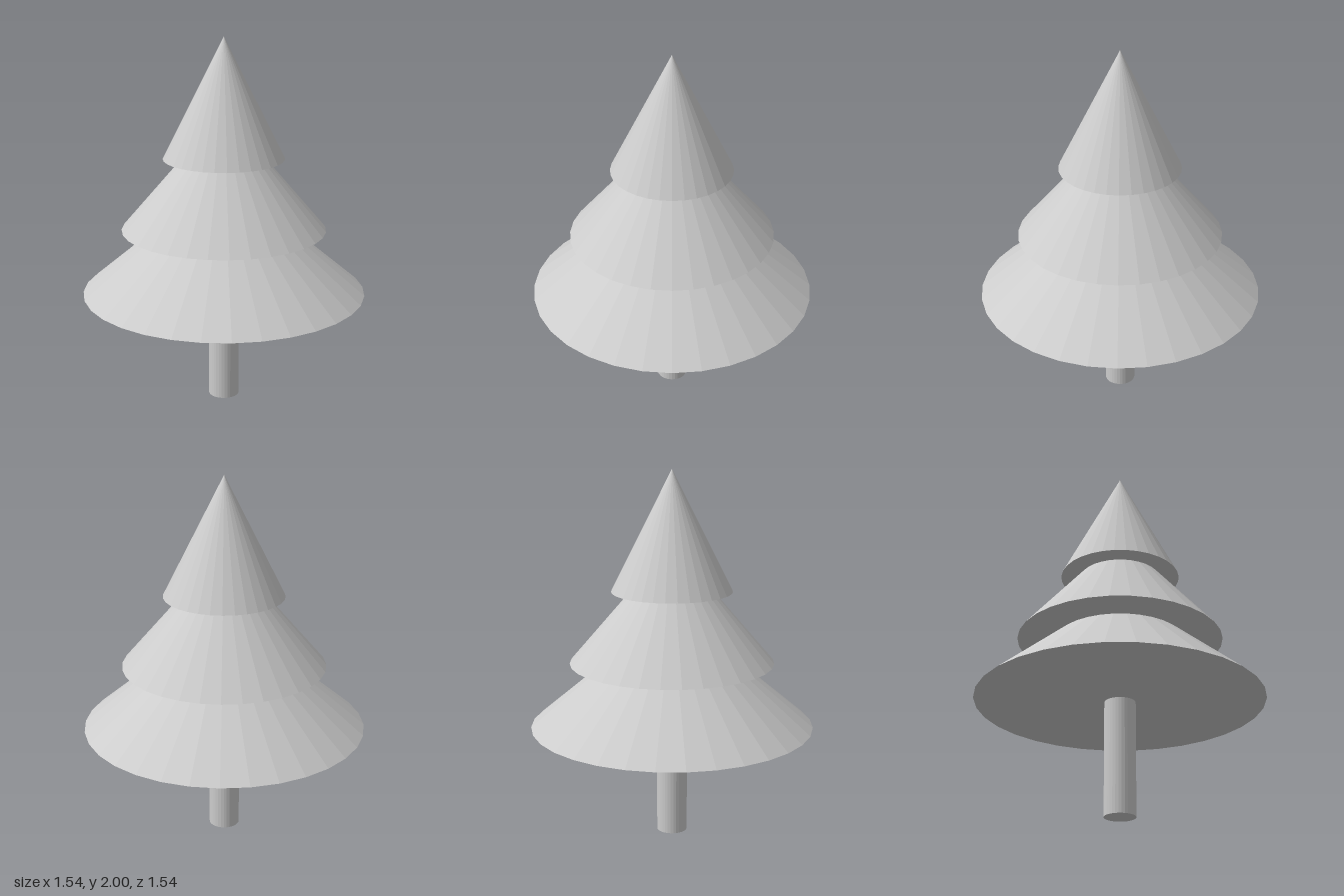
import * as THREE from 'three';

const SIDES = 32;

export function createModel() {
  const tree = new THREE.Group();
  tree.name = 'firTree';

  const grey = new THREE.MeshStandardMaterial({ color: 0xcccccc, flatShading: true });
  grey.name = 'plain grey';

  const add = (name, geometry, bottom, height) => {
    const mesh = new THREE.Mesh(geometry, grey);
    mesh.name = name;
    mesh.position.y = bottom + height / 2;
    tree.add(mesh);
  };

  // Trunk, reaching slightly into the lowest tier
  const trunkHeight = 0.64;
  add('trunk', new THREE.CylinderGeometry(0.083, 0.083, trunkHeight, SIDES), 0, trunkHeight);

  // Overlapping foliage cones: name, radius, base height, tip height
  const tiers = [
    ['lowerFoliage', 0.768, 0.617, 1.265],
    ['middleFoliage', 0.552, 0.968, 1.612],
    ['upperFoliage', 0.325, 1.355, 2],
  ];
  for (const [name, radius, base, tip] of tiers) {
    add(name, new THREE.ConeGeometry(radius, tip - base, SIDES), base, tip - base);
  }

  return tree;
}
